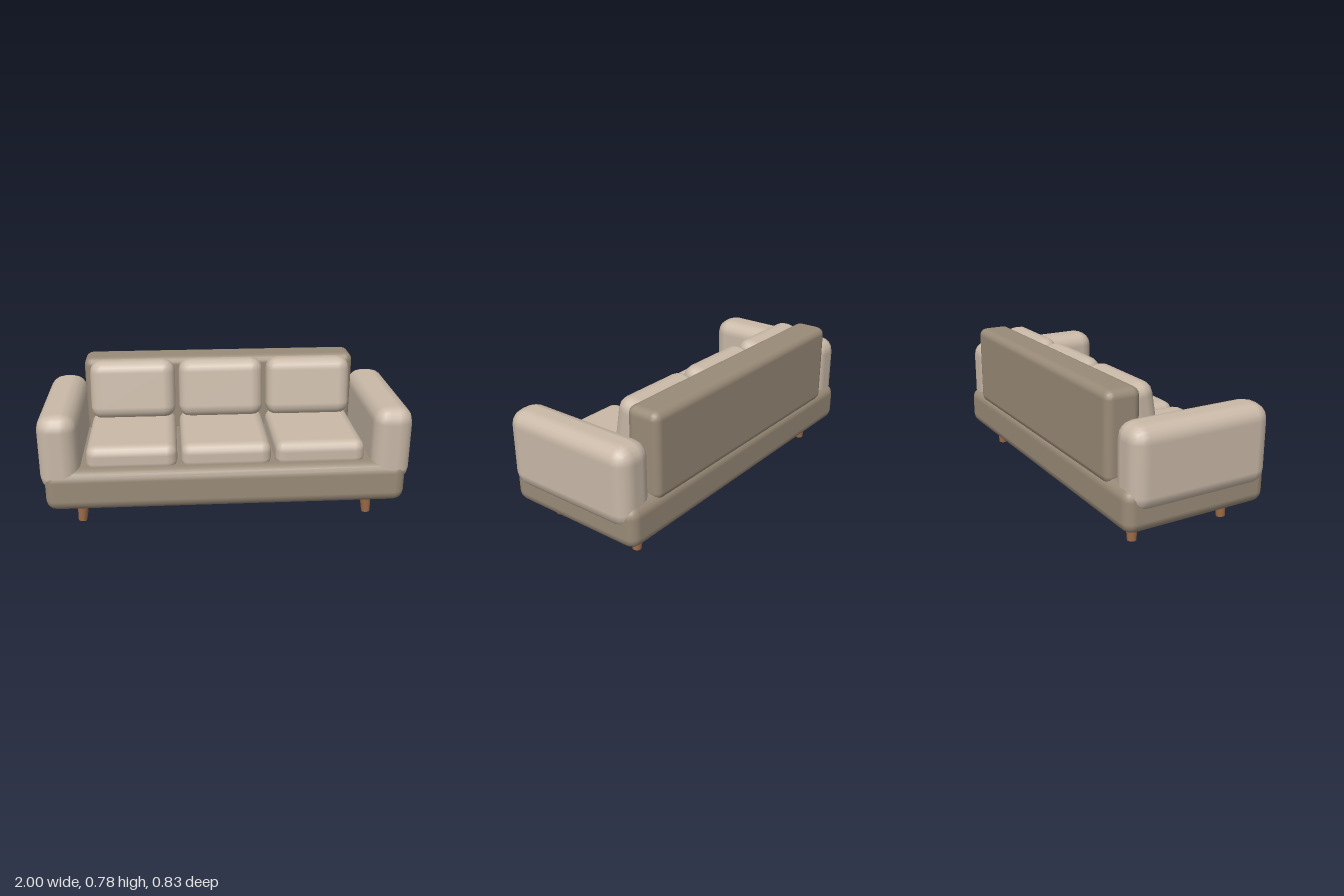
import * as THREE from 'three';
import { RoundedBoxGeometry } from 'three/addons/geometries/RoundedBoxGeometry.js';

export function createModel() {
  const sofa = new THREE.Group();
  sofa.name = 'sofa';

  const material = (name, color) => {
    const m = new THREE.MeshStandardMaterial({ color });
    m.name = name;
    return m;
  };
  const lightFabric = material('lightFabric', 0xc9b9a8);
  const darkFabric = material('darkFabric', 0x9a8b78);
  const wood = material('wood', 0x9c6b47);

  // Padded block centred at (x, y, z)
  const pad = (name, mat, [w, h, d], radius, [x, y, z]) => {
    const mesh = new THREE.Mesh(new RoundedBoxGeometry(w, h, d, 2, radius), mat);
    mesh.name = name;
    mesh.position.set(x, y, z);
    sofa.add(mesh);
    return mesh;
  };

  // Frame: base and backrest
  pad('base', darkFabric, [1.95, 0.23, 0.83], 0.06, [0, 0.235, 0]);
  pad('backrest', darkFabric, [1.58, 0.47, 0.195], 0.045, [0, 0.545, -0.3175]);

  // Arms
  for (const side of [-1, 1]) {
    pad(side > 0 ? 'leftArm' : 'rightArm', lightFabric,
      [0.215, 0.43, 0.8], 0.085, [side * 0.8925, 0.44, 0.01]);
  }

  // Seat and back cushions
  for (const i of [-1, 0, 1]) {
    pad('seatCushion', lightFabric, [0.49, 0.15, 0.58], 0.055, [i * 0.51, 0.387, 0.065]);
    const back = pad('backCushion', lightFabric, [0.49, 0.34, 0.17], 0.07, [i * 0.51, 0.61, -0.178]);
    back.rotation.x = -0.17;
  }

  // Tapered legs, leaning slightly outwards
  const legGeometry = new THREE.CylinderGeometry(0.035, 0.024, 0.14, 16);
  for (const sx of [-1, 1]) {
    for (const sz of [-1, 1]) {
      const leg = new THREE.Mesh(legGeometry, wood);
      leg.name = 'leg';
      leg.position.set(sx * 0.792, 0.072, sz * 0.273);
      leg.rotation.set(-sz * 0.03, 0, sx * 0.08);
      sofa.add(leg);
    }
  }

  return sofa;
}
